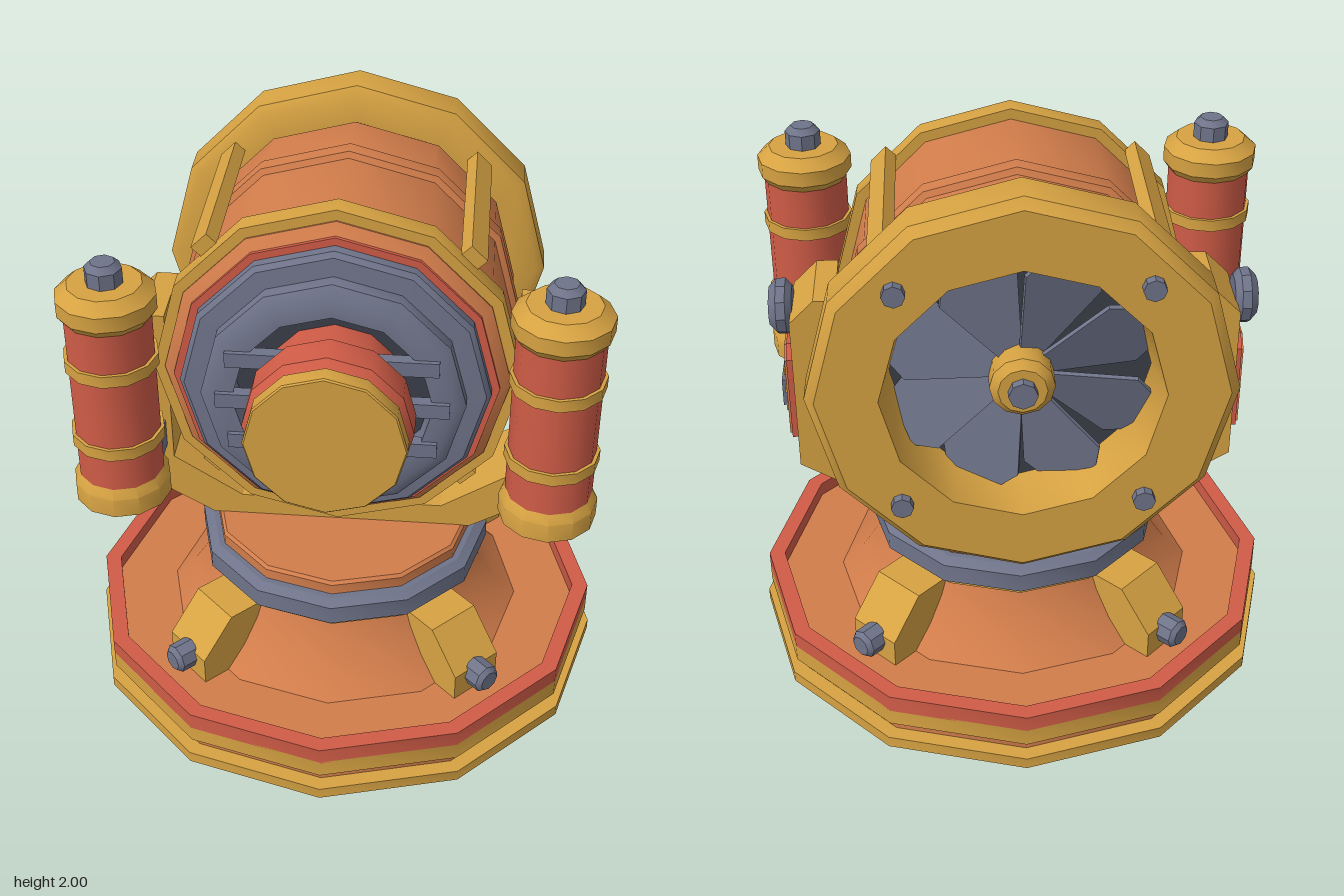
import * as THREE from 'three';
import { toCreasedNormals } from 'three/addons/utils/BufferGeometryUtils.js';

const mat = (name, color) => {
  const m = new THREE.MeshStandardMaterial({ color });
  m.name = name;
  return m;
};

export function createModel() {
  const gold = mat('gold', 0xd6a242);
  const copper = mat('copper', 0xd27d4b);
  const red = mat('red', 0xd05c47);
  const slate = mat('slate', 0x6f748a);
  const dark = mat('dark', 0x3b3e48);

  const model = new THREE.Group();
  model.name = 'swivelLamp';
  const group = (name, parent = model) => {
    const g = new THREE.Group();
    g.name = name;
    parent.add(g);
    return g;
  };
  const add = (parent, name, geo, material, x = 0, y = 0, z = 0) => {
    const m = new THREE.Mesh(geo, material);
    m.name = name;
    m.position.set(x, y, z);
    parent.add(m);
    return m;
  };
  // Turned parts: [radius, height] pairs running up the outside
  const turn = (pts, sides = 12) =>
    toCreasedNormals(new THREE.LatheGeometry(pts.map(p => new THREE.Vector2(...p)), sides), 0.6);
  const disc = (r, y0, y1, c = 0, sides = 12) => {
    const pts = [[0, y0], [r, y0], [r, y1 - c]];
    if (c) pts.push([r - c, y1]);
    pts.push([0, y1]);
    return turn(pts, sides);
  };
  const alongZ = geo => geo.rotateX(Math.PI / 2);
  const box = (w, h, d) => new THREE.BoxGeometry(w, h, d);
  const extrude = (pts, depth) =>
    new THREE.ExtrudeGeometry(new THREE.Shape(pts.map(p => new THREE.Vector2(...p))), { depth, bevelEnabled: false });

  // Base
  const base = group('base');
  add(base, 'foot', disc(0.53, 0, 0.09), copper);
  add(base, 'basePlate', disc(0.84, 0.08, 0.21), copper);
  add(base, 'lowerBand', disc(0.89, 0.11, 0.15), gold);
  add(base, 'upperBand', disc(0.875, 0.2, 0.26), gold);
  add(base, 'rim', turn([[0.82, 0.255], [0.875, 0.255], [0.875, 0.315], [0.82, 0.315], [0.82, 0.255]]), red);
  add(base, 'floor', disc(0.83, 0.25, 0.265), copper);
  add(base, 'flaredNeck', turn([[0, 0.26], [0.62, 0.26], [0.54, 0.34], [0.48, 0.43], [0.45, 0.5], [0, 0.5]]), copper);
  add(base, 'neckBand', disc(0.465, 0.485, 0.51), gold);
  add(base, 'swivelRing', turn([[0, 0.505], [0.48, 0.505], [0.5, 0.52], [0.5, 0.585], [0.47, 0.605], [0, 0.605]]), slate);
  add(base, 'turntable', disc(0.45, 0.6, 0.652, 0.01), copper);

  // Four buttresses on the diagonals, each with a bolt
  for (let i = 0; i < 4; i++) {
    const arm = group('buttress', base);
    arm.rotation.y = Math.PI / 4 + i * Math.PI / 2;
    add(arm, 'buttressBody',
      extrude([[0.38, 0.26], [0.69, 0.26], [0.69, 0.36], [0.57, 0.49], [0.38, 0.49]], 0.19), gold, 0, 0, -0.095);
    add(arm, 'buttressBolt', disc(0.05, 0, 0.08, 0.015, 8).rotateZ(-Math.PI / 2), slate, 0.675, 0.335, 0);
  }

  // Yoke
  const half = [[0.44, 0.65], [0.72, 0.815], [0.72, 1.36], [0.64, 1.44], [0.57, 1.44], [0.57, 0.88], [0.34, 0.73]];
  const yoke = group('yoke');
  add(yoke, 'yokeFrame', extrude([...half, ...half.map(([x, y]) => [-x, y]).reverse()], 0.27), gold, 0, 0, -0.16);

  for (const s of [1, -1]) {
    const side = group(s > 0 ? 'leftSide' : 'rightSide');
    // Pivot knob and axle
    const knob = turn([[0, 0], [0.07, 0], [0.092, 0.02], [0.092, 0.05], [0.065, 0.075], [0, 0.075]], 10);
    add(side, 'pivotKnob', knob.rotateZ(-s * Math.PI / 2), slate, s * 0.715, 1.35, -0.025);
    add(side, 'axle', disc(0.055, 0, 0.1, 0, 10).rotateZ(-s * Math.PI / 2), slate, s * 0.49, 1.35, -0.025);

    // Vented panel on the arm
    const panel = (e, t) => extrude(
      [[-0.07 + e, 0.9 + e], [0.12 - e, 0.9 + e], [0.12 - e, 1.2 - e], [0.08 - e, 1.24 - e], [-0.07 + e, 1.24 - e]], t
    ).rotateY(Math.PI / 2).translate(-t / 2, 0, 0);
    add(side, 'panelBack', panel(0, 0.025), red, s * 0.73, 0, 0);
    add(side, 'panelFace', panel(0.01, 0.01), copper, s * 0.745, 0, 0);
    for (const y of [0.98, 1.05, 1.12])
      add(side, 'ventSlat', box(0.015, 0.018, 0.1), gold, s * 0.752, y, -0.015);

    // Canister and its mount
    add(side, 'canisterMount', box(0.19, 0.1, 0.33), slate, s * 0.685, 0.98, 0.195);
    const can = group('canister', side);
    can.position.set(s * 0.68, 0, 0.385);
    add(can, 'canisterBody', disc(0.137, 1.0, 1.68), red);
    add(can, 'lowerCap', turn([[0, 0.92], [0.11, 0.92], [0.155, 0.955], [0.155, 1.02], [0.137, 1.05], [0, 1.05]]), gold);
    add(can, 'upperCap', turn([[0, 1.62], [0.137, 1.62], [0.155, 1.645], [0.155, 1.695], [0.115, 1.73], [0, 1.73]]), gold);
    for (const y of [1.17, 1.445]) add(can, 'canisterBand', disc(0.148, y, y + 0.04), gold);
    add(can, 'nozzle', disc(0.058, 1.72, 1.8, 0.02, 8), slate);
  }

  // Drum housing, axis along z
  const drum = group('drum');
  drum.position.y = 1.35;
  add(drum, 'housing', alongZ(turn([[0, -0.38], [0.43, -0.38], [0.43, -0.44], [0.53, -0.44], [0.545, -0.41],
    [0.545, -0.225], [0.565, -0.215], [0.565, -0.16], [0.545, -0.15], [0.545, 0.255], [0.51, 0.28], [0, 0.28]])), copper);
  add(drum, 'frontCollar', alongZ(disc(0.58, 0.18, 0.25)), gold);
  add(drum, 'frontSeal', alongZ(disc(0.51, 0.26, 0.292)), red);
  add(drum, 'rearFlange', alongZ(turn([[0.43, -0.61], [0.62, -0.61], [0.65, -0.58], [0.65, -0.46], [0.62, -0.44],
    [0.53, -0.43], [0.40, -0.43], [0.43, -0.61]])), gold);
  for (let i = 0; i < 4; i++) {
    const a = Math.PI / 4 + i * Math.PI / 2, c = Math.cos(a), k = Math.sin(a);
    const rail = add(drum, 'rail', box(0.045, 0.07, 0.62), gold, c * 0.58, k * 0.58, -0.11);
    rail.rotation.z = a;
    add(drum, 'flangeBolt', alongZ(disc(0.035, -0.64, -0.6, 0, 8)), slate, c * 0.525, k * 0.525, 0);
  }

  // Rear fan
  const fan = group('fan', drum);
  add(fan, 'fanBacking', alongZ(disc(0.43, -0.405, -0.385)), dark);
  for (let i = 0; i < 8; i++) {
    const spoke = group('fanSpoke', fan);
    spoke.position.z = -0.47;
    spoke.rotation.z = (i + 0.5) * Math.PI / 4;
    const blade = add(spoke, 'fanBlade',
      extrude([[0.06, -0.03], [0.33, -0.13], [0.4, -0.09], [0.4, 0.09], [0.33, 0.13], [0.06, 0.03]], 0.015), slate);
    blade.rotation.x = 0.3;
  }
  add(fan, 'fanHub', alongZ(turn([[0, -0.57], [0.075, -0.57], [0.1, -0.545], [0.1, -0.44], [0, -0.44]])), gold);
  add(fan, 'hubBolt', alongZ(disc(0.045, -0.6, -0.56, 0, 8)), slate);

  // Front grille
  add(drum, 'grilleRing', alongZ(turn([[0.31, 0.28], [0.485, 0.28], [0.485, 0.325], [0.47, 0.34], [0.41, 0.345],
    [0.41, 0.39], [0.37, 0.415], [0.31, 0.415], [0.31, 0.28]])), slate);
  add(drum, 'grilleBacking', alongZ(disc(0.32, 0.285, 0.31)), dark);
  for (const [y, w] of [[0.15, 0.65], [0, 0.72], [-0.15, 0.65]])
    add(drum, 'grilleBar', box(w, 0.05, 0.04), slate, 0, y, 0.41);

  // Front lens barrel
  add(drum, 'lensBarrel', alongZ(turn([[0, 0.3], [0.22, 0.3], [0.23, 0.42], [0.26, 0.45], [0.26, 0.55], [0.22, 0.59], [0, 0.59]])), red);
  add(drum, 'lensCap', alongZ(disc(0.247, 0.585, 0.642, 0.005)), gold);

  return model;
}
